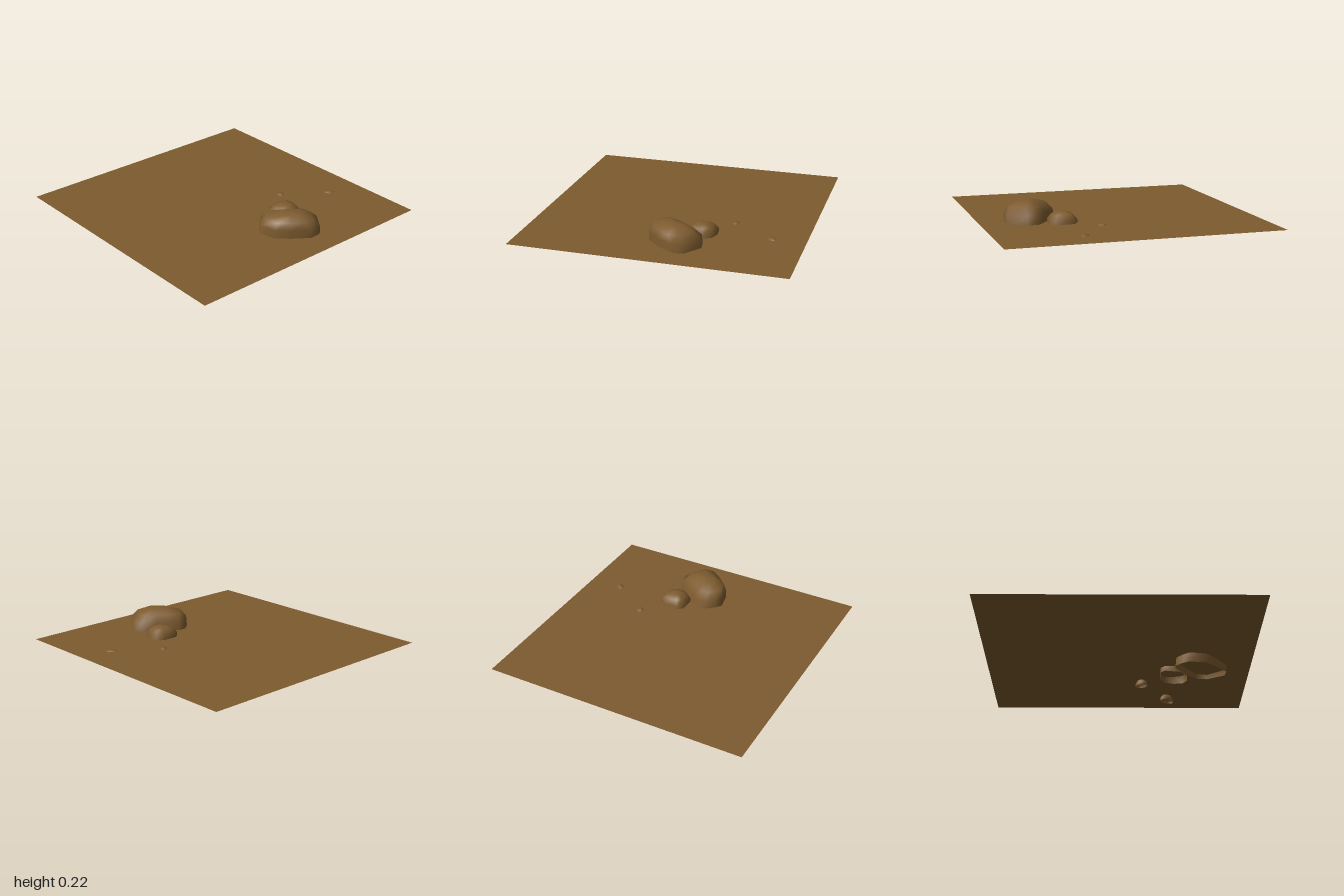
import * as THREE from 'three';

const soil = new THREE.MeshStandardMaterial({ color: 0x7d5b2f, side: THREE.DoubleSide });
soil.name = 'brown soil';

// Open-bottomed boulder: an [x, z] outline lofted through shrinking layers.
// Each layer is [scale, y, shiftX, shiftZ]; the bottom rim tilts by slope.
function makeRock(name, outline, [cx, cz], layers, topY, [slopeX, slopeZ]) {
  const n = outline.length, positions = [], index = [];
  layers.forEach(([s, y, dx = 0, dz = 0], row) => {
    outline.forEach(([x, z]) => {
      const ox = (x - cx) * s, oz = (z - cz) * s;
      const tilt = row === 0 ? ox * slopeX + oz * slopeZ : 0;
      positions.push(cx + ox + dx, y + tilt, cz + oz + dz);
    });
  });
  const [, , tx = 0, tz = 0] = layers[layers.length - 1];
  positions.push(cx + tx, topY, cz + tz);
  const apex = layers.length * n;
  for (let i = 0; i < n; i++) {
    const j = (i + 1) % n;
    for (let r = 0; r < layers.length - 1; r++) {
      const a = r * n + i, b = r * n + j;
      index.push(a, b, b + n, a, b + n, a + n);
    }
    index.push(apex - n + i, apex - n + j, apex);
  }
  const geo = new THREE.BufferGeometry();
  geo.setAttribute('position', new THREE.Float32BufferAttribute(positions, 3));
  geo.setIndex(index);
  geo.computeVertexNormals();
  const mesh = new THREE.Mesh(geo, soil);
  mesh.name = name;
  return mesh;
}

// Irregular oval outline for a pebble
function oval(cx, cz, rx, rz, turn) {
  return Array.from({ length: 8 }, (_, i) => {
    const a = -i * Math.PI / 4, r = i % 3 === 0 ? 1 : 0.92;
    const x = Math.cos(a) * rx * r, z = Math.sin(a) * rz * r;
    return [cx + x * Math.cos(turn) - z * Math.sin(turn), cz + x * Math.sin(turn) + z * Math.cos(turn)];
  });
}

export function createModel() {
  const model = new THREE.Group();
  model.name = 'rockyGround';

  // Flat ground sheet
  const ground = new THREE.Mesh(new THREE.PlaneGeometry(2, 2).rotateX(-Math.PI / 2), soil);
  ground.name = 'ground';
  ground.position.y = 0.08;
  model.add(ground);

  // Large boulder
  model.add(makeRock('largeRock', [
    [0.42, -0.06], [0.42, 0], [0.47, 0.06], [0.52, 0.095], [0.645, 0.07], [0.73, -0.02],
    [0.815, -0.14], [0.81, -0.23], [0.68, -0.325], [0.59, -0.31], [0.52, -0.215], [0.46, -0.13],
  ], [0.62, -0.115], [
    [0.99, 0.025], [0.97, 0.145, 0.008, 0.005], [0.76, 0.196, 0.015, 0.02], [0.38, 0.225, 0.02, 0.01],
  ], 0.231, [0, -0.09]));

  // Medium rock leaning against it
  model.add(makeRock('mediumRock', [
    [0.315, -0.305], [0.315, -0.19], [0.35, -0.15], [0.47, -0.15], [0.52, -0.21],
    [0.525, -0.285], [0.49, -0.345], [0.42, -0.365], [0.35, -0.36],
  ], [0.42, -0.255], [
    [0.99, 0.028], [0.98, 0.105], [0.7, 0.142], [0.35, 0.158],
  ], 0.162, [-0.1, 0.05]));

  // Two pebbles, mostly buried
  const pebbles = [
    ['nearPebble', 0.175, -0.44, 0.05, 0.045, 0.2],
    ['farPebble', 0.39, -0.75, 0.072, 0.044, -0.9],
  ];
  for (const [name, x, z, rx, rz, turn] of pebbles) {
    model.add(makeRock(name, oval(x, z, rx, rz, turn), [x, z],
      [[0.97, 0.035], [1, 0.055], [0.75, 0.076], [0.4, 0.088]], 0.09, [0.08, 0]));
  }
  return model;
}
